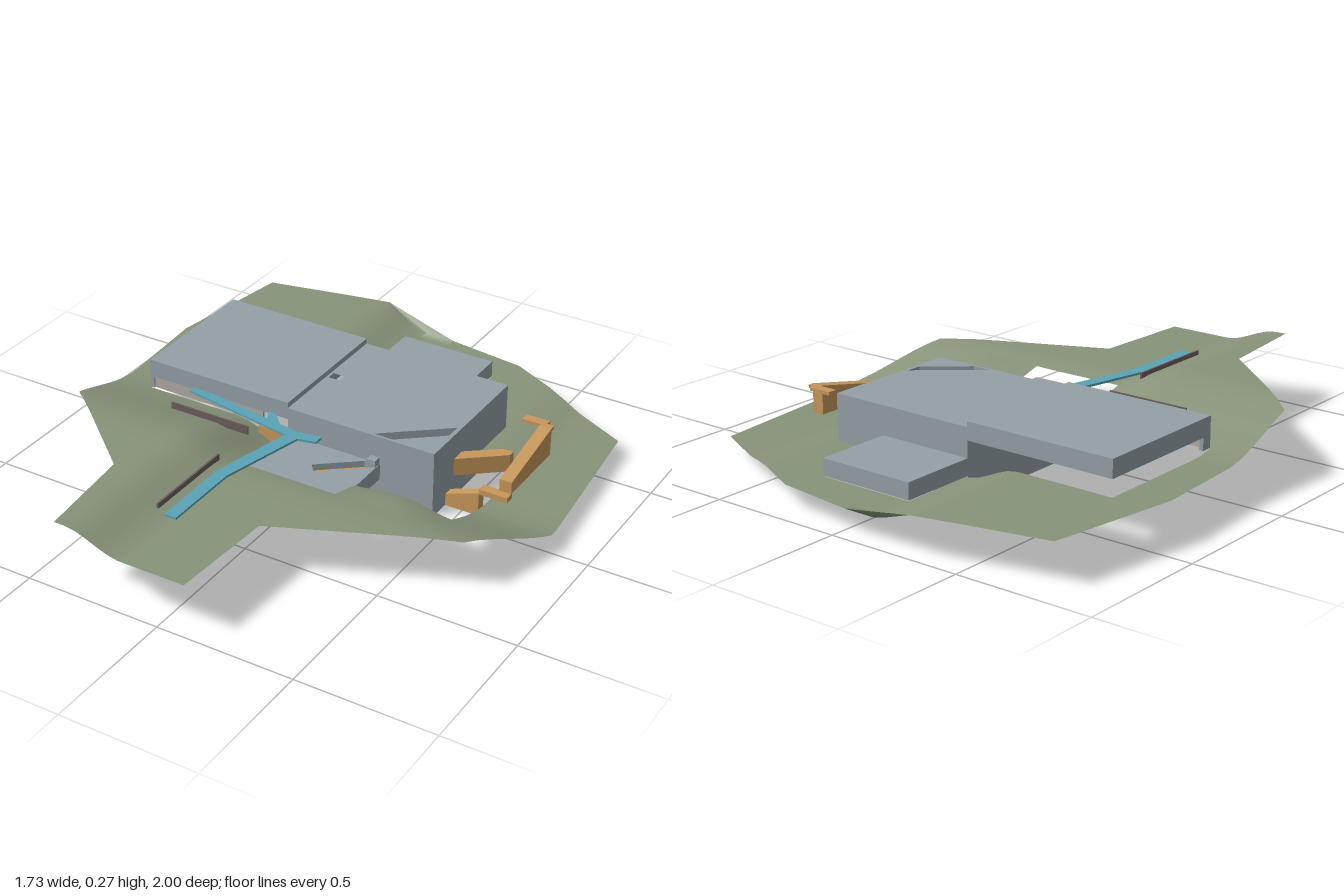
import * as THREE from 'three';

const mat = (name, color, side = THREE.FrontSide) => {
  const m = new THREE.MeshStandardMaterial({ color, side });
  m.name = name;
  return m;
};

export function createModel() {
  const group = new THREE.Group();
  const grass = mat('grass green', 0x88937a, THREE.DoubleSide);
  const concrete = mat('building grey', 0x93a0a6);
  const timber = mat('stair orange', 0xc6975a);
  const teal = mat('path teal', 0x5aa3b5);
  const wallMat = mat('retaining wall brown', 0x6b5d5c);
  const pale = mat('pale wall', 0xb0aaa2);

  const add = (name, geo, m) => {
    const mesh = new THREE.Mesh(geo, m);
    mesh.name = name;
    group.add(mesh);
    return mesh;
  };
  // Box given by its limits on each axis
  const box = (name, m, x0, x1, y0, y1, z0, z1) => {
    const g = new THREE.BoxGeometry(x1 - x0, y1 - y0, z1 - z0);
    g.translate((x0 + x1) / 2, (y0 + y1) / 2, (z0 + z1) / 2);
    return add(name, g, m);
  };
  // Flat plate with a plan outline [x, z] and optional slots
  const plate = (name, m, outline, y0, y1, slots = []) => {
    const toV = (p) => new THREE.Vector2(p[0], -p[1]);
    const shape = new THREE.Shape(outline.map(toV));
    slots.forEach((s) => shape.holes.push(new THREE.Path(s.map(toV))));
    const g = new THREE.ExtrudeGeometry(shape, { depth: y1 - y0, bevelEnabled: false });
    g.rotateX(-Math.PI / 2).translate(0, y0, 0);
    return add(name, g, m);
  };
  const rect = (x0, x1, z0, z1) => [[x0, z0], [x1, z0], [x1, z1], [x0, z1]];

  // --- Terrain: a sheet clipped to its outline, with openings for the building
  const leftEdge = [[-0.32, -1], [-0.79, -0.9], [-0.865, -0.42], [-0.82, 0.29], [-0.42, 0.63], [-0.38, 1]];
  const rightEdge = [[-0.32, -1], [0.28, -0.92], [0.8, -0.66], [0.865, 0], [0.72, 0.345], [0.13, 0.61], [0.11, 1]];
  const openings = [
    [-0.71, 0.43, -0.51, 0.02], [-0.13, 0.23, -0.79, 0.31], [0.2, 0.59, -0.28, 0.18],
  ];
  const edgeAt = (edge, z) => {
    let i = 0;
    while (i < edge.length - 2 && z > edge[i + 1][1]) i++;
    const [a, b] = [edge[i], edge[i + 1]];
    return a[0] + ((b[0] - a[0]) * (z - a[1])) / (b[1] - a[1]);
  };
  const { smoothstep, lerp } = THREE.MathUtils;
  const height = (x, z) => {
    const left = 1 - smoothstep(x, -0.34, -0.13);
    const front = smoothstep(z, -0.08, 0.42);
    const low = lerp(0.08 - 0.02 * smoothstep(x, 0.45, 0.62), 0.145, left);
    const bump = 0.022 * Math.exp(-(((x - 0.4) / 0.13) ** 2) - ((z - 0.2) / 0.09) ** 2);
    return lerp(low, lerp(0.2, 0.26, left), front) + bump;
  };
  const lines = (from, to, step, extra) => {
    const all = [...extra];
    for (let v = from; v <= to + 1e-6; v += step) all.push(Number(v.toFixed(3)));
    return [...new Set(all)].sort((a, b) => a - b);
  };
  const xs = lines(-0.9, 0.9, 0.04, openings.flatMap((o) => o.slice(0, 2)));
  const zs = lines(-1, 1, 0.04, [...leftEdge, ...rightEdge].map((p) => p[1]).concat(openings.flatMap((o) => o.slice(2))));
  const pos = [];
  const index = [];
  zs.forEach((z) => xs.forEach((x) => {
    const cx = Math.min(Math.max(x, edgeAt(leftEdge, z)), edgeAt(rightEdge, z));
    pos.push(cx, height(cx, z), z);
  }));
  const triangle = (a, b, c) => {
    const area = (pos[b * 3] - pos[a * 3]) * (pos[c * 3 + 2] - pos[a * 3 + 2])
      - (pos[c * 3] - pos[a * 3]) * (pos[b * 3 + 2] - pos[a * 3 + 2]);
    if (Math.abs(area) > 1e-9) index.push(a, b, c);
  };
  for (let j = 0; j < zs.length - 1; j++) {
    for (let i = 0; i < xs.length - 1; i++) {
      const mx = (xs[i] + xs[i + 1]) / 2;
      const mz = (zs[j] + zs[j + 1]) / 2;
      if (openings.some((o) => mx > o[0] && mx < o[1] && mz > o[2] && mz < o[3])) continue;
      const a = j * xs.length + i;
      const b = a + xs.length;
      triangle(a, b, a + 1);
      triangle(a + 1, b, b + 1);
    }
  }
  const land = new THREE.BufferGeometry();
  land.setAttribute('position', new THREE.Float32BufferAttribute(pos, 3));
  land.setIndex(index);
  land.computeVertexNormals();
  add('terrain', land, grass);

  // --- Main hall: solid base and a roof layer with two stair slots
  box('hallBase', concrete, -0.135, 0.435, 0, 0.19, -0.51, 0.02);
  const diagonalSlot = [[0.2, 0.01], [0.272, 0.01], [0.42, -0.11], [0.42, -0.168]];
  const straightSlot = rect(-0.125, 0.155, -0.265, -0.232);
  plate('hallRoof', concrete, rect(-0.135, 0.435, -0.51, 0.02), 0.19, 0.25, [diagonalSlot, straightSlot]);
  plate('diagonalStairInside', timber, diagonalSlot, 0.188, 0.196);
  plate('straightStairInside', timber, straightSlot, 0.188, 0.196);

  // --- Raised wing on the right, with its front wall and corner post
  box('wingSlab', concrete, -0.71, -0.135, 0.205, 0.27, -0.51, 0.02);
  box('wingFrontWall', pale, -0.7, -0.24, 0.16, 0.205, 0.005, 0.015);
  box('wingCornerPost', concrete, -0.71, -0.695, 0.16, 0.205, -0.02, 0.02);

  // --- Low wings at the back and the front
  box('backWing', concrete, -0.135, 0.23, 0.085, 0.145, -0.795, -0.51);
  const frontOutline = rect(-0.135, 0.23, 0.02, 0.31);
  const frontSlot = [[0.064, 0.177], [0.22, 0.051], [0.22, 0.03], [0.176, 0.03], [0.036, 0.143]];
  box('frontWingBase', concrete, -0.135, 0.23, 0.085, 0.115, 0.02, 0.31);
  plate('frontWingRoof', concrete, frontOutline, 0.115, 0.145, [frontSlot]);
  plate('frontWingStair', timber, frontSlot, 0.113, 0.121);
  box('frontWingPost', concrete, 0.195, 0.228, 0.145, 0.17, 0.02, 0.05);

  // --- Outside stairs
  plate('diagonalStairEnd', timber, [[0.432, -0.12], [0.585, -0.244], [0.585, -0.27], [0.55, -0.27], [0.432, -0.178]], 0.09, 0.155);
  const lowerFlight = new THREE.Shape([[0.435, 0], [0.56, 0], [0.56, 0.09], [0.435, 0.045]].map((p) => new THREE.Vector2(...p)));
  add('lowerFlight', new THREE.ExtrudeGeometry(lowerFlight, { depth: 0.036, bevelEnabled: false }).translate(0, 0, -0.106), timber);
  box('lowerLanding', timber, 0.56, 0.665, 0.085, 0.105, -0.106, -0.07);
  const upperFlight = new THREE.Shape([[0.1, 0.105], [0.39, 0.105], [0.39, 0.21], [0.1, 0.15]].map((p) => new THREE.Vector2(...p)));
  add('upperFlight', new THREE.ExtrudeGeometry(upperFlight, { depth: 0.045, bevelEnabled: false })
    .rotateY(Math.PI / 2).translate(0.62, 0, 0), timber);
  box('upperLanding', timber, 0.62, 0.665, 0.198, 0.21, -0.41, -0.39);
  box('upperBridge', timber, 0.55, 0.64, 0.198, 0.21, -0.43, -0.395);
  box('stairPost', timber, 0.54, 0.585, 0.085, 0.11, 0.155, 0.18);
  box('wingSideStair', timber, -0.24, -0.136, 0.085, 0.16, 0.0, 0.045);

  // --- Footpaths
  plate('crossPath', teal, [[-0.525, 0.02], [-0.44, 0.02], [-0.06, 0.082], [0.03, 0.068], [0.03, 0.105],
    [-0.035, 0.12], [-0.11, 0.435], [-0.11, 0.725], [-0.155, 0.725], [-0.155, 0.425], [-0.085, 0.118], [-0.525, 0.043]], 0.204, 0.212);
  plate('pathSpur', teal, [[-0.215, 0.02], [-0.185, 0.02], [-0.13, 0.075], [-0.19, 0.065]], 0.204, 0.212);

  // --- Thin retaining walls beside the paths
  box('crossWall', wallMat, -0.525, -0.21, 0.19, 0.222, 0.151, 0.157);
  box('approachWall', wallMat, -0.195, -0.188, 0.2, 0.23, 0.36, 0.71);

  return group;
}
